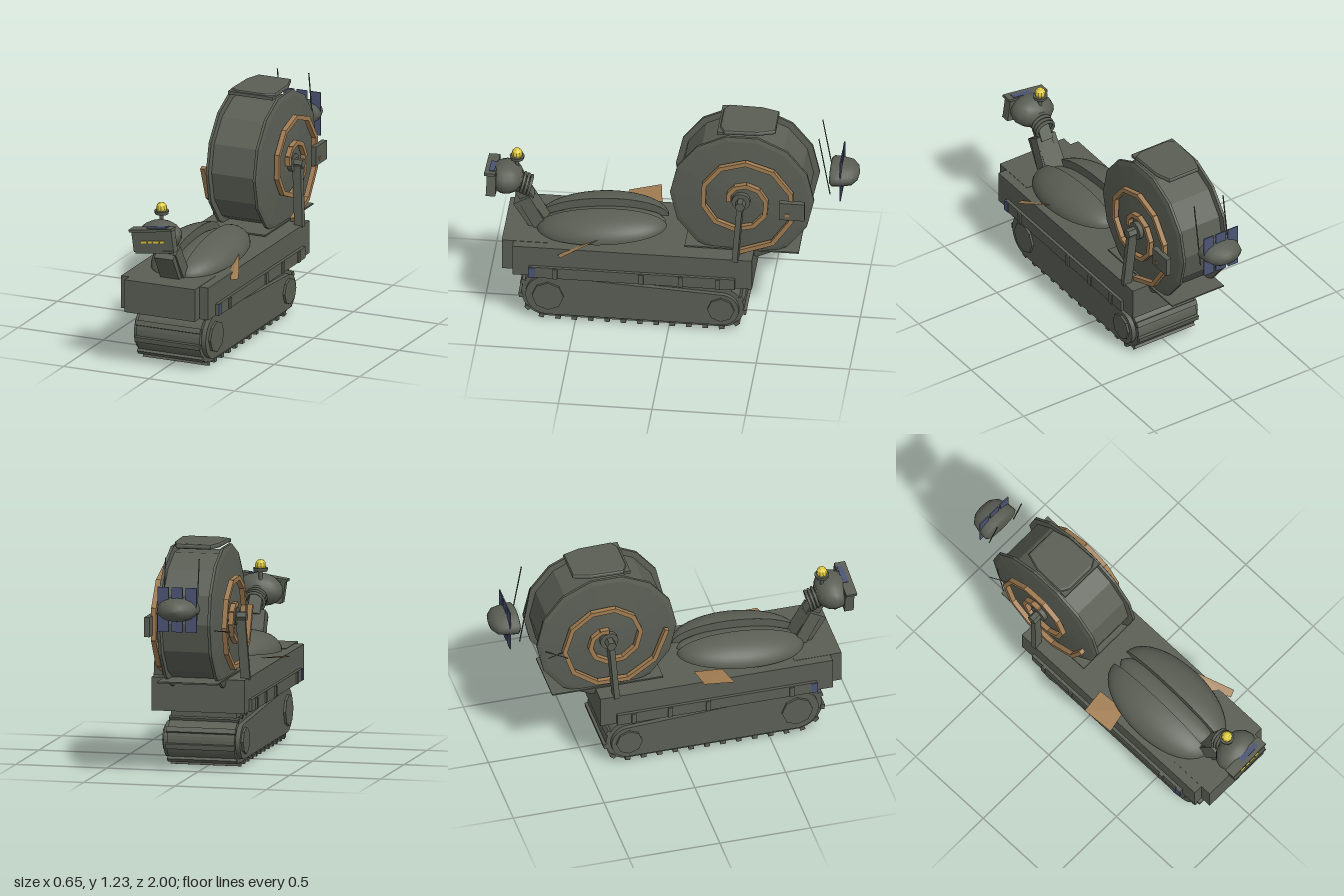
import * as THREE from 'three';

const mat = (name, color, side = THREE.FrontSide) => {
  const m = new THREE.MeshStandardMaterial({ color, side });
  m.name = name;
  return m;
};
const CX = 0.0125; // centre line of the machine

export function createModel() {
  const root = new THREE.Group();
  const drab = mat('drab green', 0x5a5e54, THREE.DoubleSide);
  const tan = mat('tan', 0xa07c52, THREE.DoubleSide);
  const yellow = mat('yellow', 0xe0cc40);
  const blue = mat('slate blue', 0x4c5474);

  const add = (name, geo, m, x = 0, y = 0, z = 0, parent = root) => {
    const mesh = new THREE.Mesh(geo, m);
    mesh.name = name;
    mesh.position.set(x, y, z);
    parent.add(mesh);
    return mesh;
  };
  const box = (name, w, h, d, m, x, y, z, parent) => add(name, new THREE.BoxGeometry(w, h, d), m, x, y, z, parent);
  const flat = (geo) => {
    const g = geo.index ? geo.toNonIndexed() : geo;
    g.computeVertexNormals();
    return g;
  };
  const group = (name, x, y, z) => {
    const g = new THREE.Group();
    g.name = name;
    g.position.set(x, y, z);
    root.add(g);
    return g;
  };
  // thin rod or bar between two points
  const bar = (name, a, b, w, d, m, parent = root) => {
    const p = new THREE.Vector3(...a), q = new THREE.Vector3(...b);
    const mesh = box(name, w, p.distanceTo(q), d, m, 0, 0, 0, parent);
    mesh.position.copy(p).add(q).multiplyScalar(0.5);
    mesh.quaternion.setFromUnitVectors(new THREE.Vector3(0, 1, 0), q.sub(p).normalize());
    return mesh;
  };

  // ---- Track: loop around a large front and a smaller rear wheel ----
  const trackShape = (inset) => {
    const s = new THREE.Shape();
    s.absarc(0.28, 0.135, 0.12 - inset, -Math.PI / 2, Math.PI / 2 - 0.05, false);
    s.absarc(-0.645, 0.16, 0.145 - inset, Math.PI / 2 - 0.05, Math.PI * 1.5, false);
    s.closePath();
    return s;
  };
  const slab = (shape, width) => {
    const g = new THREE.ExtrudeGeometry(shape, { depth: width, bevelEnabled: false, curveSegments: 10 });
    return g.translate(0, 0, -width / 2).rotateY(Math.PI / 2);
  };
  add('trackBelt', slab(trackShape(0), 0.37), drab, CX);
  add('trackFrame', slab(trackShape(0.025), 0.42), drab, CX);
  const pts = trackShape(-0.004).getSpacedPoints(31);
  for (let i = 0; i < 31; i++) {
    const a = pts[i], b = pts[(i + 1) % 31], c = pts[(i + 30) % 31];
    const pad = box('trackPad', 0.38, 0.022, 0.028, drab, CX, a.y, -a.x);
    pad.rotation.x = Math.atan2(b.y - c.y, b.x - c.x);
  }
  for (const [z, y, r] of [[0.645, 0.16, 0.085], [-0.28, 0.14, 0.072]]) {
    add('trackWheel', flat(new THREE.CylinderGeometry(r, r, 0.445, 8).rotateZ(Math.PI / 2)), drab, CX, y, z);
  }

  // ---- Hull ----
  box('hull', 0.51, 0.18, 1.28, drab, CX, 0.4, 0.19);
  box('hullNose', 0.41, 0.18, 0.26, drab, CX, 0.402, 0.762);
  box('underHull', 0.36, 0.05, 1.04, drab, CX, 0.29, 0.19);
  for (const s of [-1, 1]) {
    box('sideSkirt', 0.02, 0.065, 1.1, drab, CX + s * 0.262, 0.342, 0.19);
    for (const z of [0.6, 0.14, -0.07, -0.27]) {
      box('skirtRib', 0.012, 0.06, 0.025, drab, CX + s * 0.275, 0.342, z);
    }
    box('skirtMarker', 0.006, 0.06, 0.035, blue, CX + s * 0.274, 0.342, 0.725);
    box('hullMarker', 0.004, 0.02, 0.04, blue, CX + s * 0.256, 0.362, 0.245);
  }
  box('wheelTray', 0.33, 0.008, 0.61, drab, CX, 0.5, -0.385);

  // ---- Split domed shell ----
  const shell = group('shell', CX, 0.513, 0.375);
  shell.rotation.x = 0.085;
  for (const s of [-1, 1]) {
    const half = new THREE.SphereGeometry(1, 20, 12, s * -Math.PI / 2 + (s > 0 ? Math.PI : -Math.PI), Math.PI, 0, Math.PI / 2);
    add('shellHalf', half.scale(0.182, 0.115, 0.35), drab, s * 0.048, 0, 0, shell);
    const wall = new THREE.CircleGeometry(1, 20, 0, Math.PI).scale(0.35, 0.115, 1).rotateY(-s * Math.PI / 2);
    add('shellInnerWall', wall, drab, s * 0.048, 0, 0, shell);
    const base = new THREE.CircleGeometry(1, 20, -Math.PI / 2, Math.PI).scale(s * 0.182, 0.35, 1).rotateX(Math.PI / 2);
    add('shellBase', base, drab, s * 0.048, 0, 0, shell);
  }
  add('shellCore', new THREE.SphereGeometry(1, 16, 10, 0, Math.PI * 2, 0, Math.PI / 2).scale(0.1, 0.075, 0.34), drab, 0, 0, 0, shell);

  // ---- Tan flaps beside the shell ----
  const flap = (name, corners) => {
    const g = new THREE.BufferGeometry();
    g.setAttribute('position', new THREE.Float32BufferAttribute(corners.flat(), 3));
    g.setIndex([0, 1, 2, 0, 2, 3]);
    add(name, flat(g), tan);
  };
  flap('rightFlap', [[-0.33, 0.543, 0.1], [-0.31, 0.508, 0.272], [-0.17, 0.5, 0.24], [-0.19, 0.528, 0.08]]);
  flap('leftFlap', [[0.235, 0.545, 0.37], [0.325, 0.472, 0.57], [0.285, 0.465, 0.585], [0.235, 0.49, 0.49]]);

  // ---- Neck ----
  bar('neck', [CX, 0.48, 0.7], [CX, 0.65, 0.805], 0.11, 0.1, drab);
  for (const s of [-1, 1]) bar('neckSide', [CX + s * 0.055, 0.48, 0.69], [CX + s * 0.045, 0.66, 0.79], 0.03, 0.07, drab);
  bar('neckCore', [CX, 0.64, 0.77], [CX, 0.75, 0.84], 0.07, 0.07, drab);
  for (let i = 0; i < 4; i++) {
    const ring = add('neckRing', new THREE.TorusGeometry(0.053, 0.009, 6, 14), drab, CX, 0.715 + i * 0.008, 0.765 + i * 0.018);
    ring.rotation.x = -0.25;
  }

  // ---- Head, rolled to one side ----
  const head = group('head', 0.012, 0.765, 0.89);
  head.rotation.z = 0.14;
  add('skull', new THREE.SphereGeometry(1, 14, 10).scale(0.125, 0.088, 0.095), drab, 0, 0, 0, head);
  box('face', 0.235, 0.115, 0.05, drab, 0, -0.005, 0.07, head);
  box('brow', 0.25, 0.014, 0.06, drab, 0, 0.058, 0.078, head);
  box('chin', 0.225, 0.012, 0.05, drab, 0.005, -0.064, 0.072, head);
  box('browStripe', 0.12, 0.004, 0.03, blue, 0.03, 0.067, 0.07, head);
  [-0.05, -0.012, 0.022, 0.058].forEach((x, i) => box('eyeLight', i % 2 ? 0.024 : 0.032, 0.012, 0.006, yellow, x, -0.008, 0.097, head));

  // ---- Beacon ----
  add('beaconStem', new THREE.CylinderGeometry(0.011, 0.011, 0.06, 8), drab, -0.003, 0.85, 0.835);
  add('beaconBase', new THREE.CylinderGeometry(0.04, 0.036, 0.02, 10), drab, -0.003, 0.88, 0.835);
  add('beaconLamp', flat(new THREE.SphereGeometry(0.03, 10, 6).scale(1, 1.1, 1)), yellow, -0.003, 0.903, 0.835);

  // ---- Big wheel with spirals on both faces ----
  const wheel = group('bigWheel', CX, 0.825, -0.385);
  const edge = [[0, 0.178], [0.08, 0.175], [0.36, 0.152], [0.385, 0.145], [0.385, 0.13], [0.352, 0.126]];
  const profile = [
    ...edge.map(([r, h]) => new THREE.Vector2(r, -h)),
    ...edge.slice().reverse().map(([r, h]) => new THREE.Vector2(r, h)),
  ];
  add('drum', flat(new THREE.LatheGeometry(profile, 14).rotateZ(-Math.PI / 2)), drab, 0, 0, 0, wheel);
  for (const s of [-1, 1]) {
    // runs from front over the top to the rear while widening
    const phase = s > 0 ? 0 : Math.PI / 2;
    const at = (t) => {
      const a = phase + t * Math.PI / 2, r = 0.065 + 0.036 * t;
      return [s * 0.19, Math.sin(a) * r, Math.cos(a) * r];
    };
    for (let i = 0; i < 18; i++) bar('spiralPiece', at(i * 7 / 18), at((i + 1.06) * 7 / 18), 0.027, 0.024, tan, wheel);
    add('hubDisc', new THREE.CylinderGeometry(0.05, 0.05, 0.03, 12).rotateZ(Math.PI / 2), drab, s * 0.185, 0, 0, wheel);
    add('axleCap', flat(new THREE.CylinderGeometry(0.027, 0.027, 0.07, 6).rotateZ(Math.PI / 2)), drab, s * 0.215, 0, 0, wheel);
    bar('wheelStrut', [s * 0.215, 0.01, 0], [s * 0.238, -0.345, 0.025], 0.03, 0.05, drab, wheel);
  }
  box('sideBox', 0.03, 0.105, 0.135, drab, 0.212, -0.025, -0.275, wheel);
  box('sideBoxButton', 0.006, 0.02, 0.02, tan, 0.229, -0.045, -0.25, wheel);
  for (const d of [-1, 1]) bar('sideAerial', [-0.19 - d * 0.03, -0.05, -0.235], [-0.19 + d * 0.03, -0.03, -0.34], 0.004, 0.004, drab, wheel);

  // ---- Cap over the wheel ----
  const capShape = new THREE.Shape();
  [[-0.115, 0.12], [-0.11, -0.05], [-0.085, -0.13], [0.085, -0.13], [0.11, -0.05], [0.115, 0.12], [0.08, 0.14], [-0.08, 0.14]]
    .forEach(([x, z], i) => (i ? capShape.lineTo(x, -z) : capShape.moveTo(x, -z)));
  const cap = new THREE.ExtrudeGeometry(capShape, { depth: 0.01, bevelThickness: 0.009, bevelSize: 0.014, bevelSegments: 2 });
  add('wheelCap', cap.rotateX(-Math.PI / 2), drab, CX, 1.21, -0.415);
  box('capFrontLip', 0.26, 0.018, 0.035, drab, CX, 1.21, -0.268);

  // ---- Rear pod with panels and aerials ----
  const podProfile = [[0, 0], [0.85, 0], [1, 0.012], [0.97, 0.06], [0.84, 0.115], [0.5, 0.145], [0, 0.155]];
  const pod = new THREE.LatheGeometry(podProfile.map(([r, h]) => new THREE.Vector2(r, h)), 16);
  add('pod', pod.rotateX(-Math.PI / 2).scale(0.115, 0.066, 1), drab, CX, 0.93, -0.845);
  for (const i of [-1, 0, 1]) box('solarPanel', 0.062, 0.24, 0.006, blue, CX + i * 0.077, 0.93, -0.905);
  for (const s of [-1, 1]) bar('aerial', [CX + s * 0.092, 0.84, -0.85], [CX + s * 0.092, 1.19, -0.79], 0.005, 0.005, drab);

  return root;
}
